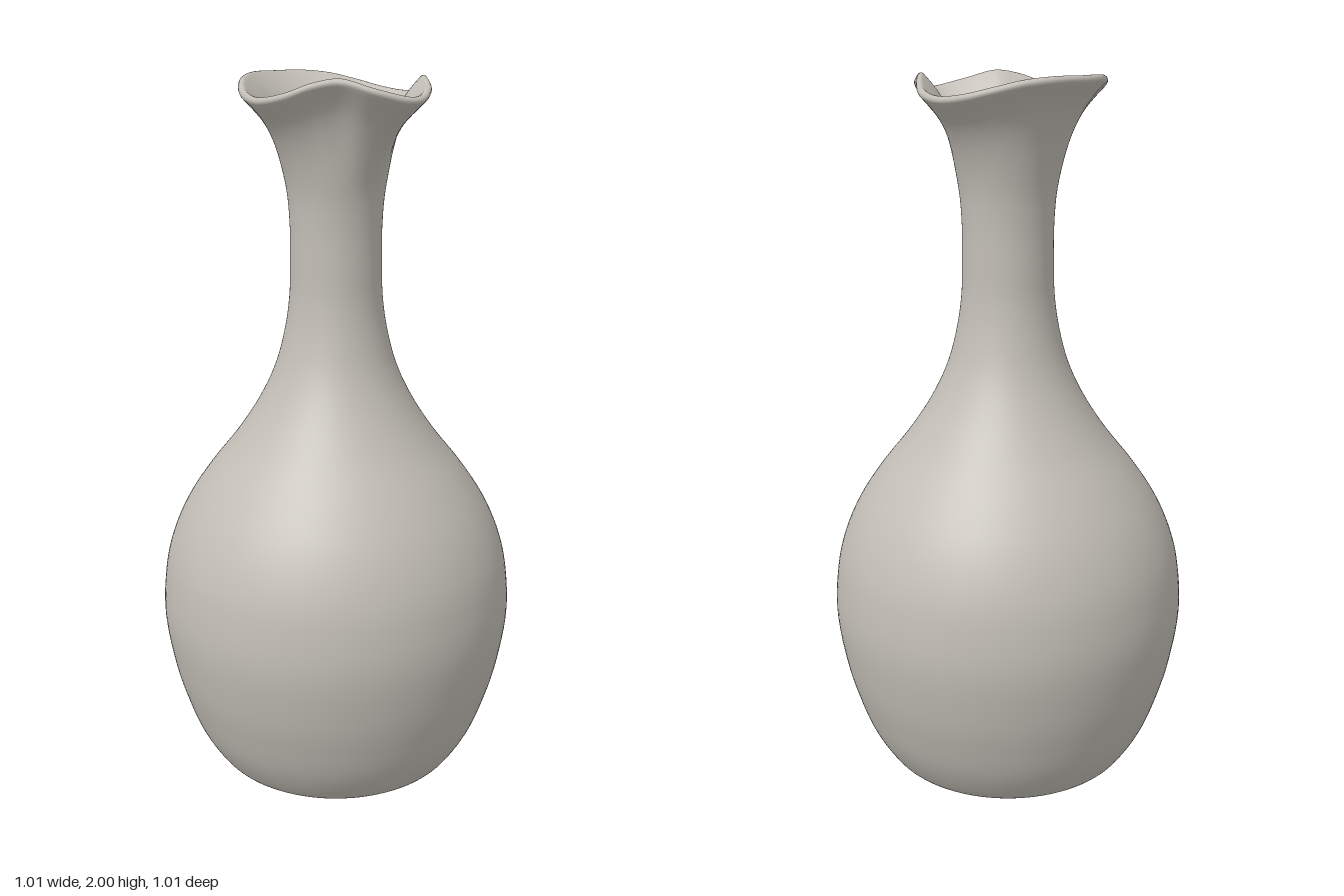
import * as THREE from 'three';
import { mergeVertices } from 'three/addons/utils/BufferGeometryUtils.js';

const WALL = 0.022, LIP_R = 0.253, LIP_Y = 1.947;

// Outer wall as [radius, height], from the centre of the base to the lip
const OUTER = [
  [0, 0.022], [0.15, 0.02], [0.25, 0.008], [0.3, 0.001], [0.345, 0.014], [0.38, 0.055],
  [0.42, 0.125], [0.452, 0.21], [0.483, 0.32], [0.506, 0.47], [0.499, 0.6],
  [0.476, 0.7], [0.432, 0.8], [0.366, 0.9], [0.287, 1.0], [0.221, 1.1], [0.173, 1.2],
  [0.145, 1.3], [0.13, 1.4], [0.127, 1.5], [0.127, 1.6], [0.136, 1.7],
  [0.163, 1.8], [0.202, 1.875], [0.26, 1.938],
];

// Lip radius and height every 18 degrees, from the spout round to the back
const LIP = [
  [0.308, 1.943], [0.277, 1.963], [0.237, 1.987], [0.236, 1.977], [0.249, 1.95],
  [0.253, 1.937], [0.25, 1.944], [0.25, 1.962], [0.256, 1.98], [0.264, 1.988], [0.265, 1.988],
];

// Closed wall section: outside, rounded lip, then the inside back down
function wallSection() {
  const curve = new THREE.SplineCurve(OUTER.map(([r, y]) => new THREE.Vector2(r, y)));
  const outside = [], inside = [], steps = 110;
  for (let i = 0; i <= steps; i++) {
    const p = curve.getPoint(i / steps), t = curve.getTangent(i / steps);
    outside.push(p);
    inside.unshift(new THREE.Vector2(Math.max(0, p.x - t.y * WALL), p.y + t.x * WALL));
  }
  outside[0].x = inside[steps].x = 0;
  const a = outside[steps], b = inside[0];
  const mid = a.clone().add(b).multiplyScalar(0.5);
  const lip = [];
  for (let k = 1; k < 6; k++) lip.push(a.clone().rotateAround(mid, (k / 6) * Math.PI));
  return [...outside, ...lip, ...inside];
}

// Pull the round lip into a spout in front and a wave around the rest
function shapeLip(geometry) {
  const ring = [...LIP, ...LIP.slice(1, -1).reverse()];
  const lip = new THREE.CatmullRomCurve3(
    ring.map(([r, y]) => new THREE.Vector3(r, y, 0)), true, 'catmullrom', 0.5);
  const pos = geometry.attributes.position;
  for (let i = 0; i < pos.count; i++) {
    const x = pos.getX(i), y = pos.getY(i), z = pos.getZ(i);
    const w = THREE.MathUtils.smoothstep(y, 1.68, LIP_Y);
    if (w === 0) continue;
    const angle = (Math.atan2(x, z) / (2 * Math.PI) + 1) % 1;
    const target = lip.getPoint(angle);
    const s = 1 + w * (target.x / LIP_R - 1);
    pos.setXYZ(i, x * s, y + w * (target.y - LIP_Y), z * s);
  }
}

export function createModel() {
  const group = new THREE.Group();
  group.name = 'carafe';
  const ceramic = new THREE.MeshStandardMaterial({ color: 0xc2beb6 });
  ceramic.name = 'warm grey ceramic';

  let geometry = new THREE.LatheGeometry(wallSection(), 120);
  shapeLip(geometry);
  // Weld the seam so the surface stays smooth all round
  geometry.deleteAttribute('uv');
  geometry.deleteAttribute('normal');
  geometry = mergeVertices(geometry, 1e-5);
  geometry.computeVertexNormals();

  const vessel = new THREE.Mesh(geometry, ceramic);
  vessel.name = 'vessel';
  group.add(vessel);
  return group;
}
